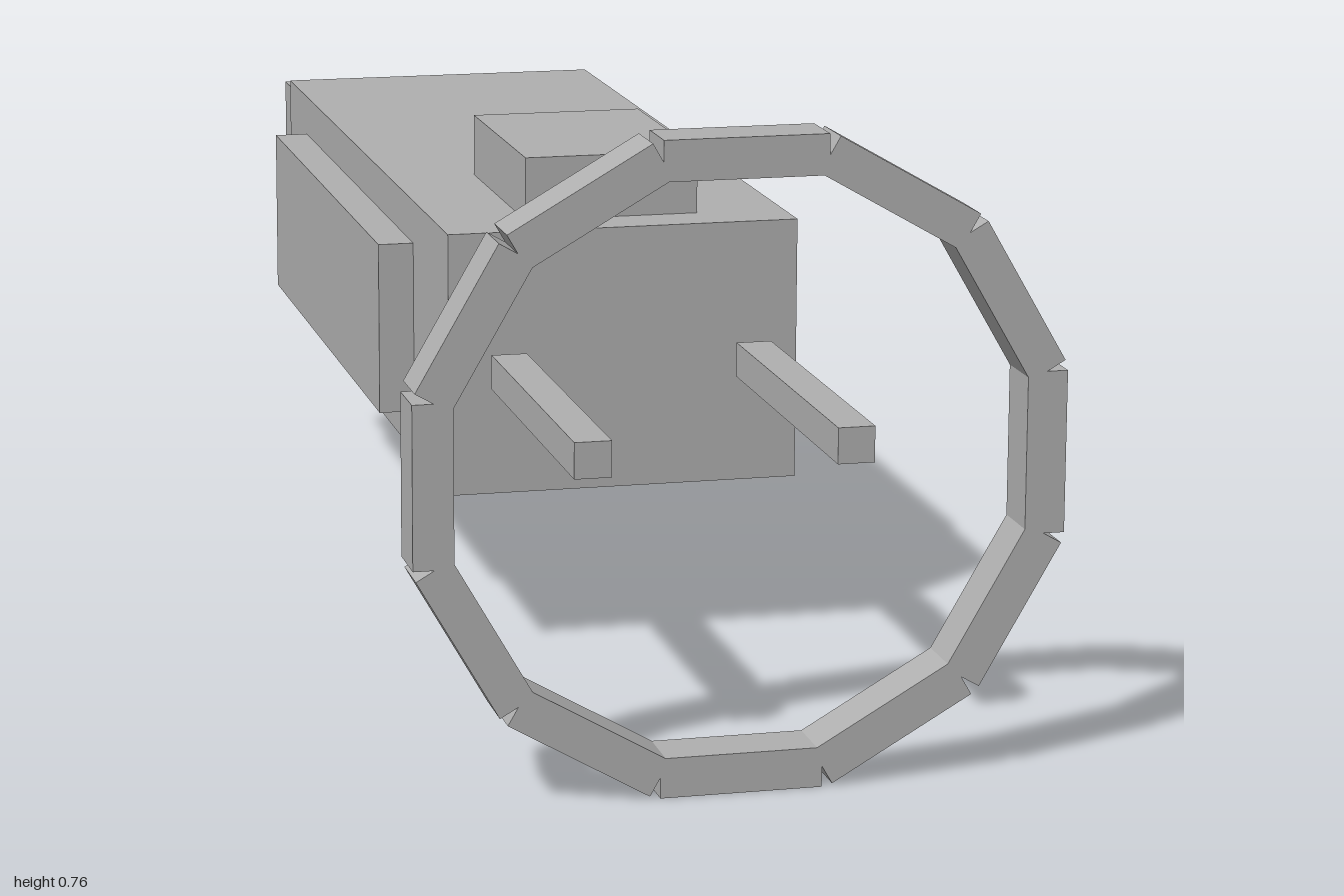
import * as THREE from 'three';

const CENTRE_Y = 0.381;

export function createModel() {
  const model = new THREE.Group();
  model.name = 'model';
  const grey = new THREE.MeshStandardMaterial({ color: 0xb0b0b0, flatShading: true });
  grey.name = 'grey';

  const add = (name, geometry, x, y, z, parent = model) => {
    const mesh = new THREE.Mesh(geometry, grey);
    mesh.name = name;
    mesh.position.set(x, y, z);
    parent.add(mesh);
    return mesh;
  };
  const box = (name, w, h, d, x, y, z, parent) =>
    add(name, new THREE.BoxGeometry(w, h, d), x, y, z, parent);

  // Main hull, rear block and raised top box
  box('body', 0.444, 0.33, 1.155, 0, CENTRE_Y, -0.147);
  box('rearBlock', 0.4, 0.267, 0.178, 0, CENTRE_Y, -0.811);
  box('topBox', 0.22, 0.079, 0.31, 0, 0.5855, 0.21);

  // Mirrored side panels, front rods and rear nozzles
  for (const [side, s] of [['left', 1], ['right', -1]]) {
    box(side + 'Panel', 0.045, 0.22, 0.795, s * 0.2445, CENTRE_Y, -0.188);
    box(side + 'Rod', 0.044, 0.043, 0.445, s * 0.155, CENTRE_Y, 0.697);
    const nozzle = new THREE.CylinderGeometry(0.077, 0.077, 0.1, 12).rotateX(Math.PI / 2);
    add(side + 'Nozzle', nozzle, s * 0.111, 0.383, -0.95);
  }

  // Front ring of twelve straight segments
  const ring = new THREE.Group();
  ring.name = 'frontRing';
  ring.position.set(0, CENTRE_Y, 0.967);
  model.add(ring);
  const radius = 0.3555;
  for (let i = 0; i < 12; i++) {
    const a = (i * Math.PI) / 6;
    const segment = box('ringSegment' + (i + 1), 0.047, 0.19, 0.066,
      radius * Math.cos(a), radius * Math.sin(a), 0, ring);
    segment.rotation.z = a;
  }

  return model;
}
